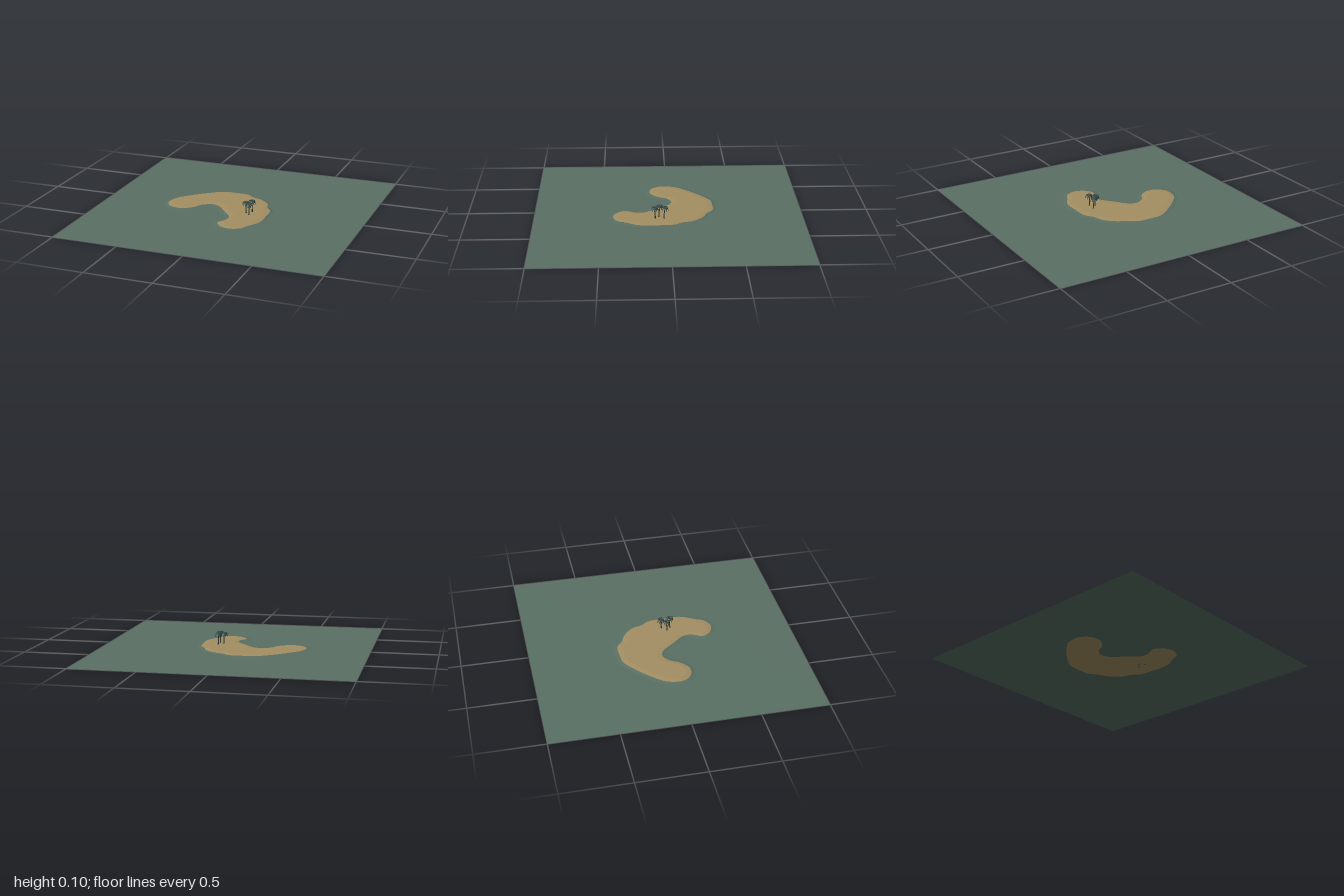
import * as THREE from 'three';

const flat = (name, color, side = THREE.DoubleSide) => {
  const m = new THREE.MeshStandardMaterial({ color, side });
  m.name = name;
  return m;
};

// Shoreline control points (x, z), clockwise seen from above
const SHORE = [
  [-0.52, 0.05], [-0.505, -0.06], [-0.435, -0.15], [-0.315, -0.26], [-0.21, -0.33],
  [-0.11, -0.34], [-0.01, -0.335], [0.05, -0.29], [0.12, -0.26], [0.2, -0.185],
  [0.23, -0.1], [0.27, -0.04], [0.28, 0.09], [0.275, 0.22], [0.22, 0.32],
  [0.19, 0.38], [0.11, 0.415], [0.03, 0.385], [-0.01, 0.32], [0.025, 0.25],
  [0.025, 0.18], [-0.05, 0.085], [-0.13, -0.01], [-0.19, -0.03], [-0.26, 0.01],
  [-0.3, 0.08], [-0.385, 0.135], [-0.475, 0.115],
];
const shoreCurve = new THREE.CatmullRomCurve3(
  SHORE.map(([x, z]) => new THREE.Vector3(x, 0, z)), true, 'centripetal');

// Shoreline moved outward by d and lifted to y
function contour(d, y, n = 140) {
  return Array.from({ length: n }, (_, i) => {
    const p = shoreCurve.getPointAt(i / n), t = shoreCurve.getTangentAt(i / n);
    return new THREE.Vector3(p.x + t.z * d, y, p.z - t.x * d);
  });
}

// Smooth surface between nested contours, outermost first
function slope(rings) {
  const n = rings[0].length, idx = [];
  for (let r = 0; r < rings.length - 1; r++) {
    for (let i = 0; i < n; i++) {
      const j = (i + 1) % n, a = r * n, b = a + n;
      idx.push(a + i, b + i, a + j, a + j, b + i, b + j);
    }
  }
  const g = new THREE.BufferGeometry().setFromPoints(rings.flat());
  g.setIndex(idx);
  g.computeVertexNormals();
  return g;
}

const toPlan = (ring) => ring.map((p) => new THREE.Vector2(p.x, -p.z));
const level = (shape, y) => new THREE.ShapeGeometry(shape).rotateX(-Math.PI / 2).translate(0, y, 0);

// Arching leaf with a folded midrib and serrated edges
function frondGeometry(length, rise, droop) {
  const steps = 10, pts = [], idx = [];
  for (let i = 0; i <= steps; i++) {
    const t = i / steps;
    const y = rise * Math.sin(t * Math.PI * 0.6) - droop * t * t * t;
    const w = 0.0075 * Math.sin(Math.PI * (0.12 + 0.86 * t)) * (i % 2 ? 1 : 0.5);
    const x = length * Math.sin(t * 1.45) / Math.sin(1.45);
    pts.push(new THREE.Vector3(x, y - w * 0.5, -w), new THREE.Vector3(x, y, 0),
      new THREE.Vector3(x, y - w * 0.5, w));
    if (i < steps) {
      const a = i * 3, b = a + 3;
      for (const k of [0, 1]) idx.push(a + k, a + k + 1, b + k, b + k, a + k + 1, b + k + 1);
    }
  }
  const g = new THREE.BufferGeometry().setFromPoints(pts);
  g.setIndex(idx);
  g.computeVertexNormals();
  return g;
}

export function createModel() {
  const water = flat('water', 0x5a7064);
  const sand = flat('sand', 0xa48f63);
  const bark = flat('bark', 0x35403c, THREE.FrontSide);
  const leaf = flat('leaf', 0x2b4240);

  const model = new THREE.Group();
  model.name = 'islandScene';
  const add = (parent, name, geometry, material) => {
    const m = new THREE.Mesh(geometry, material);
    m.name = name;
    parent.add(m);
    return m;
  };

  // Nested contours from the sea bed to the island top
  const foot = contour(0.03, 0), mid = contour(0.015, 0.002), shore = contour(0, 0.005);
  const beach = contour(-0.02, 0.0075), crest = contour(-0.04, 0.009);

  // Square sea with an opening for the island
  const sea = new THREE.Shape([[-1, -1], [1, -1], [1, 1], [-1, 1]].map((p) => new THREE.Vector2(...p)));
  sea.holes.push(new THREE.Path(toPlan(foot)));
  add(model, 'sea', level(sea, 0), water);
  add(model, 'shallows', slope([foot, mid, shore]), water);

  // Crescent island
  add(model, 'beach', slope([shore, beach, crest]), sand);
  add(model, 'islandTop', level(new THREE.Shape(toPlan(crest)), 0.009), sand);

  // Palms: x, z, crown height, lean x, lean z, turn
  const palms = [
    [0.155, 0.035, 0.09, -0.004, -0.006, 0.2],
    [0.12, 0.072, 0.088, -0.004, -0.004, 1.1],
    [0.152, 0.1, 0.09, 0.002, 0.002, 2.3],
  ];
  const upper = frondGeometry(0.026, 0.014, 0.018);
  const lower = frondGeometry(0.028, 0.006, 0.03);
  palms.forEach(([x, z, h, lx, lz, turn]) => {
    const palm = new THREE.Group();
    palm.name = 'palm';
    palm.position.set(x, 0, z);
    model.add(palm);

    // Leaning trunk with a flared foot
    const trunk = new THREE.CylinderGeometry(0.0028, 0.0045, h - 0.004, 8, 8).translate(0, (h + 0.004) / 2, 0);
    const p = trunk.attributes.position;
    for (let i = 0; i < p.count; i++) {
      const t = p.getY(i) / h, flare = 1 + 0.5 * Math.max(0, 1 - t * 4);
      p.setXYZ(i, p.getX(i) * flare + lx * t * t, p.getY(i), p.getZ(i) * flare + lz * t * t);
    }
    trunk.computeVertexNormals();
    add(palm, 'trunk', trunk, bark);

    // Crown with two tiers of fronds
    const crown = new THREE.Group();
    crown.name = 'crown';
    crown.position.set(lx, h, lz);
    crown.rotation.y = turn;
    palm.add(crown);
    add(crown, 'crownHeart', new THREE.SphereGeometry(0.005, 8, 6), leaf);
    for (let i = 0; i < 9; i++) {
      add(crown, 'upperFrond', upper, leaf).rotation.y = (i / 9) * Math.PI * 2;
      add(crown, 'lowerFrond', lower, leaf).rotation.y = ((i + 0.5) / 9) * Math.PI * 2;
    }
  });

  return model;
}
